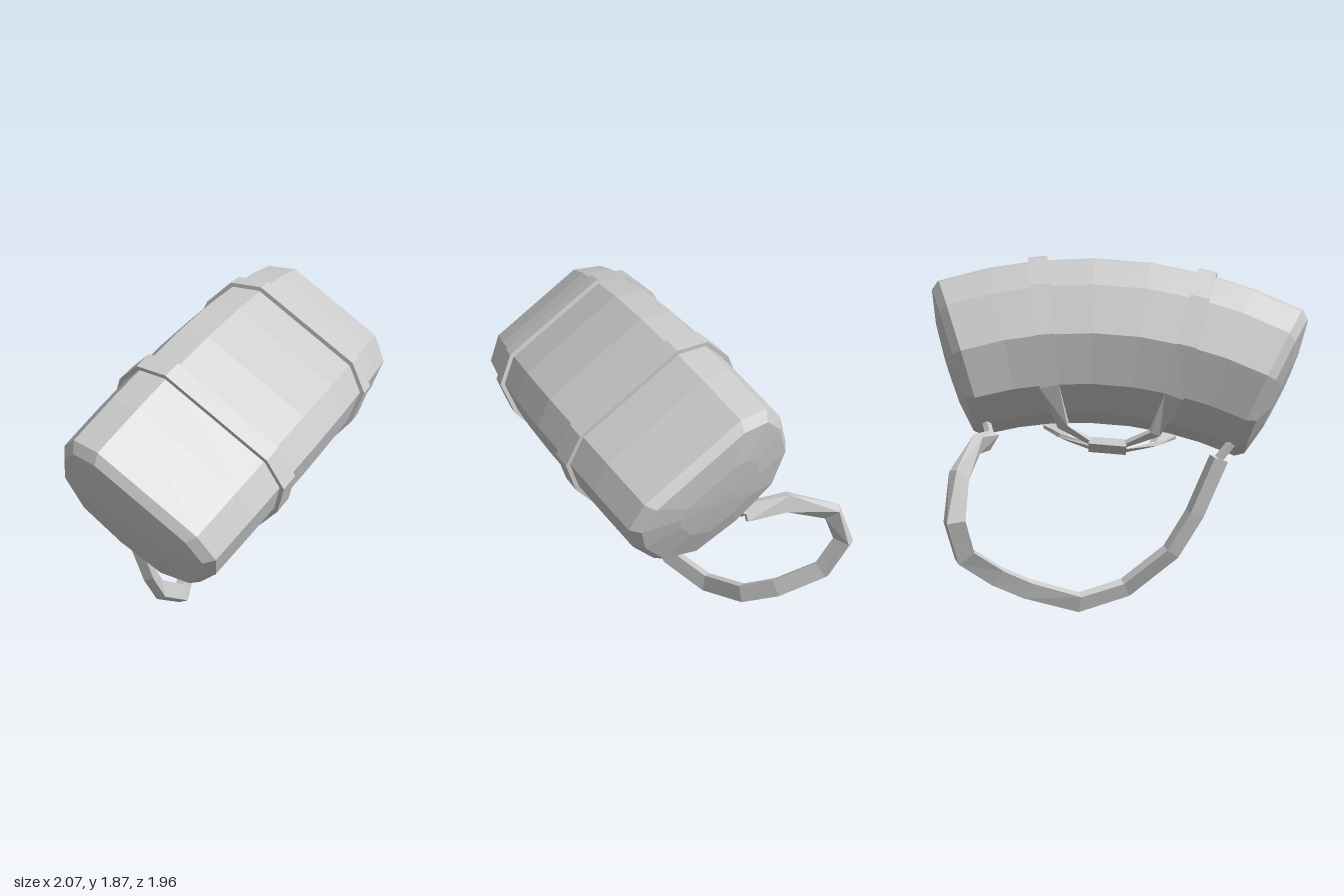
import * as THREE from 'three';

const V = (x, y, z) => new THREE.Vector3(x, y, z);
const mix = (...pairs) => pairs.reduce((s, [k, v]) => s.addScaledVector(v, k), V(0, 0, 0));

// Bag frame: A along the bag, U towards the arched side, S sideways
const A = V(0.912, 0.0775, -0.4025).normalize();
const U = V(0.155, 0.856, 0.495);
U.addScaledVector(A, -U.dot(A)).normalize();
const S = A.clone().cross(U);
const MID = V(-0.018, 1.4, 0.242), R = 2.146;

// Point of a cross-section at an angle along the bent axis
const tangent = (deg) => {
  const r = THREE.MathUtils.degToRad(deg);
  return mix([Math.cos(r), A], [-Math.sin(r), U]);
};
function onBag(deg, u, s, out = 0) {
  const r = THREE.MathUtils.degToRad(deg);
  const up = mix([Math.cos(r), U], [Math.sin(r), A]);
  return mix([1, MID], [R * Math.sin(r), A], [R * (Math.cos(r) - 1), U], [u, up], [s, S], [out, tangent(deg)]);
}

// Skin a series of equal rings and close both ends
function skin(rings, name) {
  const pos = [];
  const tri = (...p) => p.forEach((v) => pos.push(v.x, v.y, v.z));
  const n = rings[0].length;
  for (let i = 0; i < rings.length - 1; i++) {
    for (let j = 0; j < n; j++) {
      const k = (j + 1) % n, a = rings[i], b = rings[i + 1];
      tri(a[j], b[j], b[k]);
      tri(a[j], b[k], a[k]);
    }
  }
  const first = rings[0], last = rings[rings.length - 1];
  const centre = (ring) => mix(...ring.map((p) => [1 / n, p]));
  const c0 = centre(first), c1 = centre(last);
  for (let j = 0; j < n; j++) {
    const k = (j + 1) % n;
    tri(c0, first[j], first[k]);
    tri(c1, last[k], last[j]);
  }
  const geo = new THREE.BufferGeometry();
  geo.setAttribute('position', new THREE.Float32BufferAttribute(pos, 3));
  geo.computeVertexNormals();
  const mesh = new THREE.Mesh(geo, new THREE.MeshStandardMaterial({ color: 0xcccccc, flatShading: true }));
  mesh.name = name;
  return mesh;
}

// Rectangular strap along points; widthDirs gives the width direction at each
function strap(points, widthDirs, widths, thickness, name) {
  const rings = points.map((p, i) => {
    const t = points[Math.min(i + 1, points.length - 1)].clone().sub(points[Math.max(i - 1, 0)]).normalize();
    const w = widthDirs[i].clone();
    w.addScaledVector(t, -w.dot(t)).normalize();
    const n = t.clone().cross(w);
    const a = widths[i] / 2, b = thickness / 2;
    return [[a, b], [a, -b], [-a, -b], [-a, b]].map(([x, y]) => mix([1, p], [x, w], [y, n]));
  });
  return skin(rings, name);
}

// Half profile as [u, s], mirrored into a closed eleven-sided section
const side = [[-0.36, 0.275], [-0.15, 0.43], [0.107, 0.461], [0.27, 0.42], [0.352, 0.29]];
const around = [...side, ...side.slice().reverse().map(([u, s]) => [u, -s])];
const profile = [[-0.41, 0], ...around];

export function createModel() {
  const model = new THREE.Group();
  model.name = 'duffelBag';

  // Bent body with shallow domed ends: [angle, scale, outward offset]
  const half = [[3.5, 1.02, 0], [10.5, 1.01, 0], [16.5, 1, 0], [23, 0.985, 0], [23, 0.9, 0.045], [23, 0.5, 0.075], [23, 0.1, 0.083]];
  const stations = [...half.slice().reverse().map(([d, k, o]) => [-d, k, -o]), ...half];
  model.add(skin(stations.map(([d, k, o]) => profile.map(([u, s]) => onBag(d, u * k, s * k, o))), 'bagBody'));

  // Two bands that wrap the body and run together into the carry handle
  const local = (a, u, s) => mix([1, MID], [a, A], [u, U], [s, S]);
  for (const e of [-1, 1]) {
    const inner = tangent(10.5 * e).multiplyScalar(-e);
    const ends = (f) => [local(e * 0.08, -0.6, f * 0.035), local(e * 0.24, -0.54, f * 0.09)];
    const endDirs = (f) => [S.clone().multiplyScalar(f), mix([-e, A], [f, S])];
    const points = [...ends(1), ...around.map(([u, s]) => onBag(10.5 * e, u * 1.035, s * 1.035)), ...ends(-1).reverse()];
    const dirs = [...endDirs(1), ...around.map(() => inner), ...endDirs(-1).reverse()];
    const widths = [0.05, 0.07, ...around.map(() => 0.1), 0.07, 0.05];
    model.add(strap(points, dirs, widths, 0.022, e < 0 ? 'rightBand' : 'leftBand'));
  }

  // Grip holding the band ends together
  model.add(strap([local(-0.1, -0.6, 0), local(0.1, -0.6, 0)], [S, S], [0.13, 0.13], 0.04, 'handleGrip'));

  // Hanging shoulder strap
  const path = [
    [-0.64, 0.82, 0.2], [-0.53, 0.52, 0.14], [-0.42, 0.31, 0.08], [-0.2, 0.11, -0.03],
    [-0.02, 0.06, -0.23], [0.19, 0.16, -0.42], [0.27, 0.27, -0.6], [0.31, 0.43, -0.83],
    [0.3, 0.63, -0.93], [0.32, 0.84, -0.85], [0.37, 0.95, -0.6], [0.42, 0.93, -0.38],
  ].map((p) => V(...p));
  const across = V(0.77, 0.3, 0.59);
  model.add(strap(path, path.map(() => across), path.map(() => 0.05), 0.095, 'shoulderStrap'));

  // Small clips joining the strap to the bag ends
  const clips = [[path[0], onBag(-22, -0.4, 0), 'rightClip'], [path[11], onBag(22, -0.4, 0), 'leftClip']];
  for (const [from, to, name] of clips) {
    model.add(strap([from, to], [across, across], [0.03, 0.03], 0.04, name));
  }
  return model;
}
